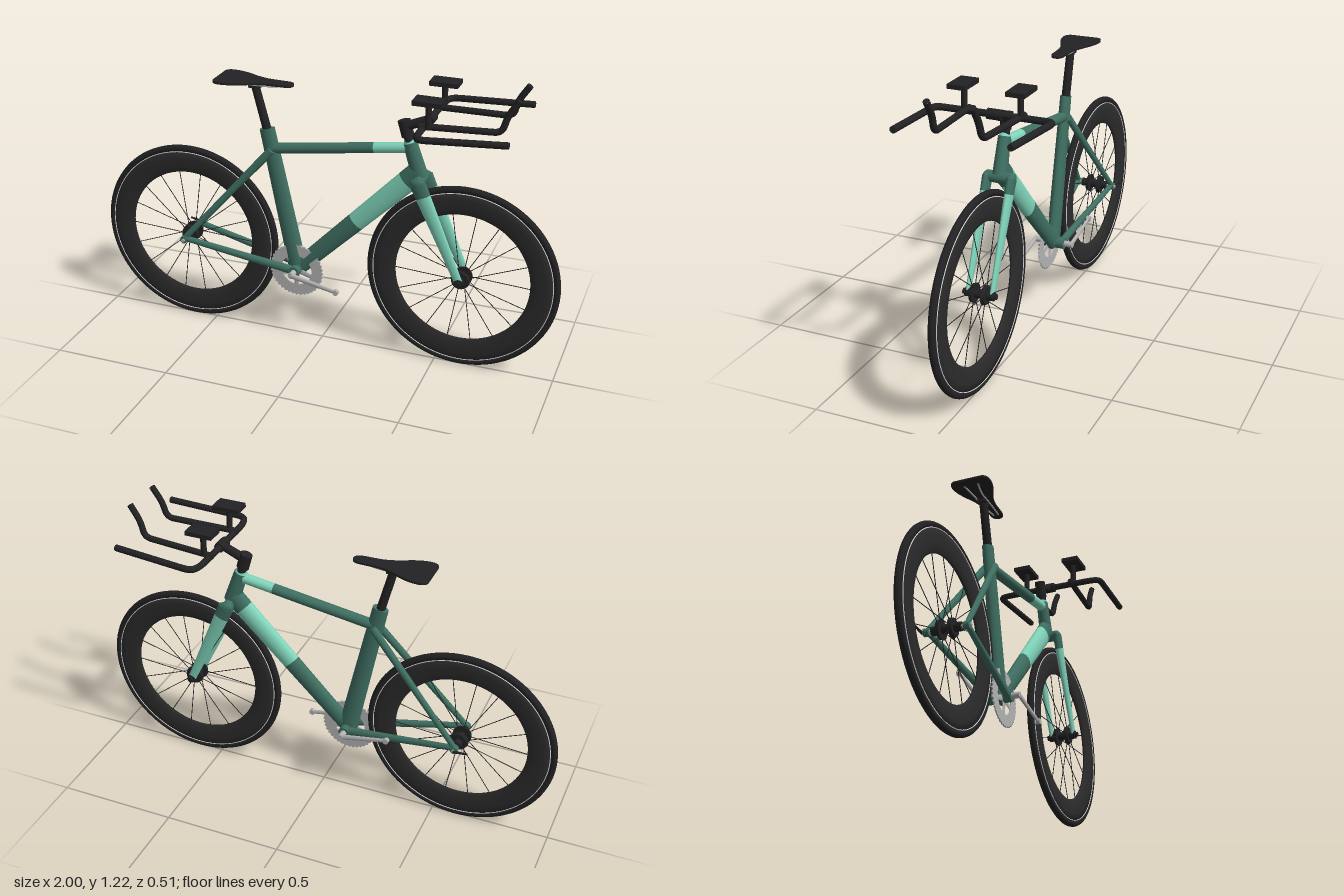
import * as THREE from 'three';

const mat = (name, color) => {
  const m = new THREE.MeshStandardMaterial({ color });
  m.name = name;
  return m;
};
const V = (x, y, z = 0) => new THREE.Vector3(x, y, z);

export function createModel() {
  const bike = new THREE.Group();
  bike.name = 'bicycle';
  const green = mat('darkGreen', 0x3f6f62);
  const mint = mat('mint', 0x80d4bb);
  const black = mat('black', 0x222224);
  const rimGrey = mat('rimCharcoal', 0x2b2b2b);
  const silver = mat('silver', 0xb4b4b4);
  const white = mat('white', 0xe4e4e4);

  const add = (name, geo, m, parent = bike) => {
    const mesh = new THREE.Mesh(geo, m);
    mesh.name = name;
    parent.add(mesh);
    return mesh;
  };

  // Straight tube from a to b; r1 and r2 are the radii at a and b, flat squeezes it sideways
  const tube = (name, a, b, r1, r2, m, flat = 1, parent = bike, sides = 24) => {
    const dir = b.clone().sub(a);
    const geo = new THREE.CylinderGeometry(r2, r1, dir.length(), sides);
    geo.scale(1, 1, flat);
    const y = dir.normalize();
    const x = y.clone().cross(Math.abs(y.z) > 0.9 ? V(0, 1, 0) : V(0, 0, 1)).normalize();
    geo.applyMatrix4(new THREE.Matrix4().makeBasis(x, y, x.clone().cross(y)));
    const mid = a.clone().add(b).multiplyScalar(0.5);
    geo.translate(mid.x, mid.y, mid.z);
    return add(name, geo, m, parent);
  };

  // Tube painted in bands; each stop is [end fraction, material]
  const bandedTube = (name, a, b, r1, r2, flat, stops) => {
    let t = 0;
    for (const [end, m] of stops) {
      const r = (k) => r1 + (r2 - r1) * k;
      tube(name, a.clone().lerp(b, t), a.clone().lerp(b, end), r(t), r(end), m, flat);
      t = end;
    }
  };

  // Tube bent through points with rounded corners and closed ends
  const bentTube = (name, pts, radius, m, bend = 0.04) => {
    const path = new THREE.CurvePath();
    let from = pts[0];
    for (let i = 1; i < pts.length - 1; i++) {
      const p = pts[i];
      const near = (q) => p.clone().add(q.clone().sub(p).setLength(Math.min(bend, p.distanceTo(q) * 0.45)));
      const start = near(pts[i - 1]), end = near(pts[i + 1]);
      path.add(new THREE.LineCurve3(from, start));
      path.add(new THREE.QuadraticBezierCurve3(start, p, end));
      from = end;
    }
    path.add(new THREE.LineCurve3(from, pts[pts.length - 1]));
    add(name, new THREE.TubeGeometry(path, 80, radius, 14), m);
    for (const [p, q] of [[pts[0], pts[1]], [pts.at(-1), pts.at(-2)]]) {
      tube(name + 'End', p, p.clone().add(p.clone().sub(q).setLength(0.002)), radius, radius * 0.9, m, 1, bike, 14);
    }
  };

  // Wheels
  const hubY = 0.405;
  const makeWheel = (name, x) => {
    const wheel = new THREE.Group();
    wheel.name = name;
    wheel.position.set(x, hubY, 0);
    bike.add(wheel);
    add('tyre', new THREE.TorusGeometry(0.386, 0.0145, 16, 96), black, wheel);
    const profile = [[0.279, 0], [0.283, -0.007], [0.31, -0.0125], [0.345, -0.0135], [0.376, -0.011],
      [0.376, 0.011], [0.345, 0.0135], [0.31, 0.0125], [0.283, 0.007], [0.279, 0]];
    const rim = new THREE.LatheGeometry(profile.map(([r, h]) => new THREE.Vector2(r, h)), 96);
    rim.rotateX(Math.PI / 2);
    add('rim', rim, rimGrey, wheel);
    for (const s of [1, -1]) {
      const line = add('rimLine', new THREE.TorusGeometry(0.3735, 0.0018, 6, 96), white, wheel);
      line.position.z = s * 0.0125;
      tube('hubFlange', V(0, 0, s * 0.018), V(0, 0, s * 0.032), 0.04, 0.036, black, 1, wheel);
    }
    tube('hubBody', V(0, 0, -0.06), V(0, 0, 0.06), 0.018, 0.018, black, 1, wheel);
    const spokes = 18;
    for (let i = 0; i < spokes; i++) {
      const a = (i / spokes) * Math.PI * 2, c = Math.cos(a), s = Math.sin(a);
      tube('spoke', V(c * 0.03, s * 0.03, i % 2 ? 0.022 : -0.022), V(c * 0.283, s * 0.283, 0),
        0.0017, 0.0017, black, 1, wheel, 5);
    }
  };
  makeWheel('rearWheel', -0.6);
  makeWheel('frontWheel', 0.6);

  // Main frame tubes
  const bottom = V(-0.11, 0.32), seatTop = V(-0.24, 0.935);
  const headTop = V(0.365, 0.96), headLow = V(0.412, 0.82);
  tube('seatTube', bottom, seatTop, 0.041, 0.033, green, 0.65);
  bandedTube('topTube', V(-0.22, 0.85), V(0.375, 0.94), 0.022, 0.022, 1, [[0.74, green], [0.96, mint], [1, green]]);
  bandedTube('downTube', bottom, V(0.405, 0.84), 0.035, 0.046, 0.62, [[0.5, green], [0.91, mint], [1, green]]);
  tube('headTube', headLow, headTop, 0.034, 0.029, green, 0.82);
  const headDir = headTop.clone().sub(headLow).normalize();
  tube('headsetCap', headTop, headTop.clone().addScaledVector(headDir, 0.012), 0.025, 0.02, mint, 0.85);
  tube('bottomBracket', V(-0.11, 0.32, -0.053), V(-0.11, 0.32, 0.053), 0.024, 0.024, green);

  // Rear stays and fork, mirrored
  for (const s of [1, -1]) {
    const dropout = V(-0.6, hubY + 0.005, s * 0.08);
    tube('chainStay', V(-0.11, 0.32, s * 0.035), dropout, 0.019, 0.013, green, 0.8);
    tube('seatStay', V(-0.215, 0.85, s * 0.022), dropout, 0.017, 0.012, green, 0.8);
    tube('dropout', V(-0.6, hubY, s * 0.07), V(-0.6, hubY, s * 0.093), 0.016, 0.016, green);
    const top = V(0.416, 0.81, s * 0.05);
    bandedTube('forkBlade', top, V(0.6, hubY, s * 0.05), 0.034, 0.017, 0.48, [[0.13, green], [1, mint]]);
    add('forkShoulder', new THREE.SphereGeometry(1, 20, 12).scale(0.033, 0.022, 0.016), green).position.copy(top);
  }
  tube('forkCrown', V(0.414, 0.81, -0.052), V(0.414, 0.81, 0.052), 0.023, 0.023, green);
  tube('frontAxle', V(0.6, hubY, -0.07), V(0.6, hubY, 0.07), 0.011, 0.011, black);
  tube('rearAxle', V(-0.6, hubY, -0.1), V(-0.6, hubY, 0.1), 0.007, 0.007, silver);
  tube('axleLever', V(-0.6, hubY, -0.1), V(-0.66, hubY + 0.01, -0.106), 0.006, 0.004, black);

  // Seat post and saddle
  tube('seatPost', V(-0.24, 0.93), V(-0.288, 1.112), 0.018, 0.017, black);
  add('saddleClamp', new THREE.BoxGeometry(0.05, 0.014, 0.036), black).position.set(-0.288, 1.113, 0);
  for (const s of [1, -1]) {
    bentTube('saddleRail', [V(-0.41, 1.128, s * 0.03), V(-0.35, 1.12, s * 0.018), V(-0.24, 1.12, s * 0.018),
      V(-0.16, 1.128, s * 0.01)], 0.0035, silver, 0.03);
  }
  const seat = new THREE.Shape();
  seat.moveTo(-0.445, 0.06);
  seat.quadraticCurveTo(-0.44, 0.08, -0.41, 0.08);
  seat.bezierCurveTo(-0.34, 0.08, -0.3, 0.03, -0.22, 0.025);
  seat.lineTo(-0.15, 0.023);
  seat.quadraticCurveTo(-0.125, 0.02, -0.125, 0);
  seat.quadraticCurveTo(-0.125, -0.02, -0.15, -0.023);
  seat.lineTo(-0.22, -0.025);
  seat.bezierCurveTo(-0.3, -0.03, -0.34, -0.08, -0.41, -0.08);
  seat.quadraticCurveTo(-0.44, -0.08, -0.445, -0.06);
  const saddle = new THREE.ExtrudeGeometry(seat, {
    depth: 0.006, bevelSize: 0.003, bevelThickness: 0.003, bevelSegments: 2, curveSegments: 12,
  });
  saddle.rotateX(-Math.PI / 2);
  add('saddle', saddle, black).position.y = 1.13;

  // Stem and handlebar
  tube('steerer', headTop, V(0.343, 1.035), 0.019, 0.019, black);
  tube('stemClamp', V(0.357, 0.985), V(0.338, 1.05), 0.026, 0.026, black, 0.85);
  tube('stem', V(0.345, 1.025), V(0.45, 1.07), 0.019, 0.018, black);
  tube('barClamp', V(0.445, 1.07, -0.03), V(0.445, 1.07, 0.03), 0.021, 0.021, black);
  bentTube('handlebar', [V(0.8, 1.095, 0.226), V(0.46, 1.075, 0.241), V(0.445, 1.07, 0.19),
    V(0.445, 1.07, -0.19), V(0.46, 1.075, -0.241), V(0.8, 1.095, -0.226)], 0.0135, black, 0.035);

  // Forward extensions and arm rests, mirrored
  for (const s of [1, -1]) {
    bentTube('barExtension', [V(0.43, 1.078, s * 0.112), V(0.745, 1.088, s * 0.093),
      V(0.762, 1.155, s * 0.09), V(0.803, 1.218, s * 0.088)], 0.013, black, 0.03);
    tube('armRestPost', V(0.467, 1.075, s * 0.114), V(0.467, 1.175, s * 0.114), 0.012, 0.012, black);
    add('armRest', new THREE.BoxGeometry(0.115, 0.018, 0.075), black).position.set(0.468, 1.182, s * 0.117);
  }

  // Toothed chainring with open centre
  const centre = V(-0.11, 0.317);
  const ring = new THREE.Shape();
  const teeth = 40;
  for (let i = 0; i < teeth * 2; i++) {
    const a = (i / (teeth * 2)) * Math.PI * 2, r = i % 2 ? 0.113 : 0.12;
    ring[i ? 'lineTo' : 'moveTo'](Math.cos(a) * r, Math.sin(a) * r);
  }
  ring.holes.push(new THREE.Path().absarc(0, 0, 0.068, 0, Math.PI * 2, true));
  const ringGeo = new THREE.ExtrudeGeometry(ring, { depth: 0.006, bevelEnabled: false, curveSegments: 32 });
  add('chainring', ringGeo, silver).position.set(centre.x, centre.y, 0.014);
  for (let i = 0; i < 5; i++) {
    const a = (i / 5) * Math.PI * 2 - Math.PI / 2;
    tube('chainringArm', V(centre.x, centre.y, 0.017),
      V(centre.x + Math.cos(a) * 0.075, centre.y + Math.sin(a) * 0.075, 0.017), 0.014, 0.01, silver, 0.25);
  }

  // Crank axle, arms and pedal spindles
  tube('crankAxle', V(centre.x, 0.32, -0.09), V(centre.x, 0.32, 0.086), 0.013, 0.013, silver);
  for (const s of [1, -1]) {
    const end = V(centre.x + s * 0.2, 0.32 - s * 0.04, s * 0.083);
    tube('crankArm', V(centre.x, 0.32, s * 0.082), end, 0.012, 0.009, silver, 0.6);
    tube('crankEnd', end.clone().setZ(s * 0.075), end.clone().setZ(s * 0.092), 0.012, 0.012, silver);
  }
  return bike;
}
